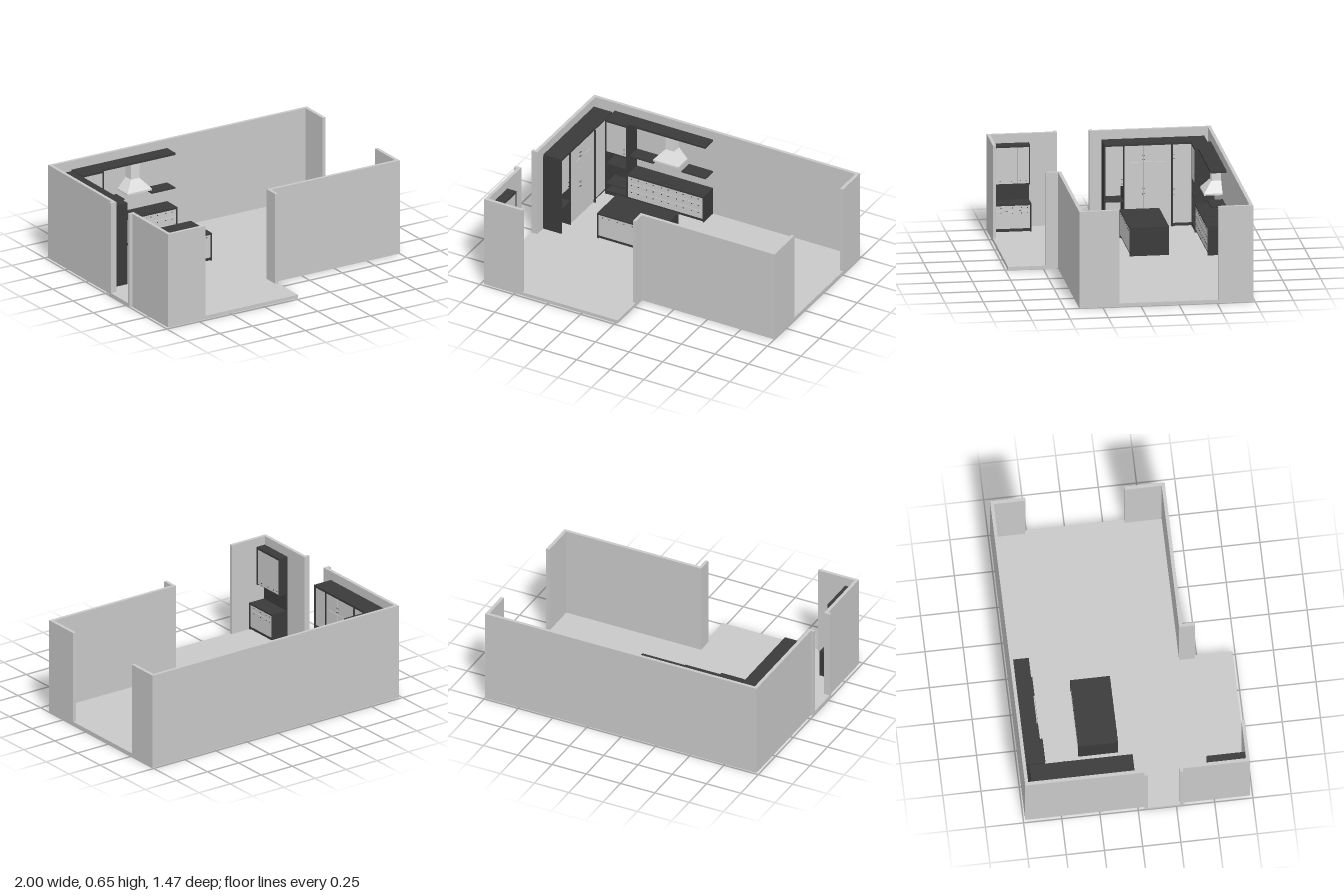
import * as THREE from 'three';

const mat = (name, color) => {
  const m = new THREE.MeshStandardMaterial({ color });
  m.name = name;
  return m;
};

export function createModel() {
  const plaster = mat('wall grey', 0xc8c8c8);
  const front = mat('cabinet front grey', 0xcccccc);
  const dark = mat('dark carcass', 0x3a3a3a);
  const light = mat('hood light grey', 0xdadada);

  const model = new THREE.Group();
  model.name = 'kitchenRoom';
  const group = (name) => {
    const g = new THREE.Group();
    g.name = name;
    model.add(g);
    return g;
  };
  // box given by its low and high limits on each axis
  const box = (parent, name, m, x0, x1, y0, y1, z0, z1) => {
    const mesh = new THREE.Mesh(new THREE.BoxGeometry(x1 - x0, y1 - y0, z1 - z0), m);
    mesh.position.set((x0 + x1) / 2, (y0 + y1) / 2, (z0 + z1) / 2);
    mesh.name = name;
    parent.add(mesh);
    return mesh;
  };
  const F = 0.024, P = 0.046, TOP = 0.59, H = 0.65;

  // floor slab with the doorway threshold
  const outline = [[-0.98, -0.737], [1, -0.737], [1, 0.405], [0.015, 0.405], [0.015, 0.733], [-0.98, 0.733],
    [-0.98, 0.295], [-1, 0.295], [-1, 0.042], [-0.98, 0.042]];
  const shape = new THREE.Shape(outline.map(([x, z]) => new THREE.Vector2(x, -z)));
  const slab = new THREE.ExtrudeGeometry(shape, { depth: F, bevelEnabled: false }).rotateX(-Math.PI / 2);
  const floor = new THREE.Mesh(slab, plaster);
  floor.name = 'floor';
  model.add(floor);

  // walls and door jambs: [name, x0, x1, z0, z1]
  const walls = group('walls');
  [
    ['backWall', -0.98, 1, -0.737, -0.715],
    ['leftWallRear', -0.98, -0.957, -0.715, 0.042],
    ['rearJamb', -1, -0.957, 0.042, 0.063],
    ['frontJamb', -1, -0.957, 0.274, 0.295],
    ['leftWallFront', -0.98, -0.957, 0.295, 0.733],
    ['frontWallShort', -0.957, -0.692, 0.711, 0.733],
    ['rightWallRear', 0.977, 1, -0.715, -0.508],
    ['rightWallFront', 0.977, 1, 0.14, 0.383],
    ['frontWallLong', -0.006, 1, 0.383, 0.405],
    ['wallStub', -0.006, 0.015, 0.405, 0.488],
  ].forEach(([n, x0, x1, z0, z1]) => box(walls, n, plaster, x0, x1, F, H, z0, z1));

  // pairs of small handle posts on fronts facing z or x
  const knob = (g, x, y, z) => box(g, 'handlePost', dark, x - 0.003, x + 0.003, y - 0.002, y + 0.002, z - 0.003, z + 0.003);

  // fronts facing z: rows of drawers between x0 and x1, with narrow gaps
  const drawersZ = (g, x0, x1, z, dir, columns, rows) => {
    const w = (x1 - x0) / columns;
    for (let i = 0; i < columns; i++) {
      const a = x0 + i * w;
      rows.forEach(([y0, y1]) => {
        box(g, 'drawerFront', front, a + 0.001, a + w - 0.001, y0 + 0.001, y1 - 0.001,
          Math.min(z, z - dir * 0.006), Math.max(z, z - dir * 0.006));
        [0.28, 0.72].forEach((t) => knob(g, a + w * t, y1 - 0.015, z + dir * 0.002));
      });
    }
  };

  // island
  const island = group('island');
  box(island, 'islandPlinth', dark, -0.58, -0.145, F, P, -0.335, -0.095);
  box(island, 'islandBody', dark, -0.58, -0.145, P, 0.2, -0.334, -0.096);
  box(island, 'islandTop', dark, -0.595, -0.132, 0.205, 0.215, -0.345, -0.085);
  [-0.595, -0.142].forEach((x) => box(island, 'islandEnd', dark, x, x + 0.01, F, 0.205, -0.345, -0.085));
  drawersZ(island, -0.585, -0.142, -0.087, 1, 4, [[P, 0.205]]);
  drawersZ(island, -0.585, -0.142, -0.343, -1, 4, [[P, 0.205]]);

  // base run along the back wall
  const base = group('backBaseCabinets');
  box(base, 'basePlinth', dark, -0.65, -0.085, F, P, -0.715, -0.6);
  box(base, 'baseBody', dark, -0.65, -0.092, P, 0.208, -0.715, -0.598);
  box(base, 'worktop', dark, -0.65, -0.083, 0.208, 0.22, -0.715, -0.587);
  box(base, 'baseEnd', dark, -0.092, -0.083, F, 0.208, -0.715, -0.59);
  box(base, 'hob', dark, -0.43, -0.31, 0.22, 0.223, -0.69, -0.61);
  drawersZ(base, -0.65, -0.092, -0.592, 1, 5, [[P, 0.105], [0.105, 0.158], [0.158, 0.207]]);

  // wall shelves and top board
  const shelves = group('wallShelves');
  box(shelves, 'topBoard', dark, -0.65, -0.083, 0.576, TOP, -0.715, -0.61);
  box(shelves, 'shelfLeft', dark, -0.65, -0.472, 0.34, 0.35, -0.715, -0.615);
  box(shelves, 'shelfRight', dark, -0.262, -0.083, 0.34, 0.35, -0.715, -0.615);

  // extractor hood: rim, tapered canopy, chimney
  const hood = group('extractorHood');
  box(hood, 'hoodRim', light, -0.462, -0.274, 0.374, 0.386, -0.715, -0.595);
  const canopyGeo = new THREE.BoxGeometry(0.188, 0.07, 0.12);
  const p = canopyGeo.attributes.position;
  for (let i = 0; i < p.count; i++) {
    if (p.getY(i) > 0) {
      p.setX(i, p.getX(i) * 0.34);
      if (p.getZ(i) > 0) p.setZ(i, 0.005);
    }
  }
  const canopyFlat = canopyGeo.toNonIndexed();
  canopyFlat.computeVertexNormals();
  const canopy = new THREE.Mesh(canopyFlat, light);
  canopy.name = 'hoodCanopy';
  canopy.position.set(-0.368, 0.421, -0.655);
  hood.add(canopy);
  box(hood, 'hoodChimney', light, -0.4, -0.336, 0.456, 0.576, -0.715, -0.65);

  // corner column: open shelves below, closed cupboard above
  const column = group('cornerColumn');
  box(column, 'columnSideRight', dark, -0.657, -0.648, F, TOP, -0.715, -0.585);
  box(column, 'columnSideLeft', dark, -0.815, -0.807, F, TOP, -0.715, -0.587);
  box(column, 'columnBack', dark, -0.807, -0.657, F, 0.576, -0.715, -0.705);
  box(column, 'columnTop', dark, -0.807, -0.657, 0.576, TOP, -0.715, -0.585);
  box(column, 'columnPlinth', dark, -0.807, -0.657, F, 0.052, -0.705, -0.59);
  [0.1, 0.25, 0.342].forEach((y) => box(column, 'columnShelf', dark, -0.807, -0.657, y, y + 0.008, -0.705, -0.588));
  box(column, 'columnDoor', front, -0.806, -0.658, 0.351, 0.575, -0.596, -0.589);
  [0.37, 0.4].forEach((y) => knob(column, -0.675, y, -0.587));

  // tall cabinets along the left wall
  const tall = group('tallCabinets');
  const X0 = -0.957, X1 = -0.822;
  box(tall, 'tallTop', dark, X0, X1, 0.576, TOP, -0.692, -0.018);
  box(tall, 'tallEnd', dark, X0, X1, F, 0.576, -0.024, -0.016);
  box(tall, 'nicheDivider', dark, X0, X1, F, 0.576, -0.148, -0.141);
  box(tall, 'cornerDivider', dark, X0, -0.815, F, 0.576, -0.465, -0.457);
  box(tall, 'tallRearEnd', dark, X0, X1, F, 0.576, -0.692, -0.684);
  box(tall, 'nicheDesk', dark, X0, X1, 0.2, 0.209, -0.141, -0.024);
  box(tall, 'nicheBack', front, X0, X0 + 0.006, F, 0.305, -0.141, -0.024);
  box(tall, 'nicheCupboard', front, X0, -0.835, 0.305, 0.576, -0.141, -0.024);
  box(tall, 'tallBody', dark, X0, -0.835, F, 0.576, -0.457, -0.148);
  box(tall, 'cornerBody', dark, X0, -0.835, F, 0.576, -0.684, -0.465);
  // doors: [y0, y1, z0, z1]
  [
    [P, 0.465, -0.275, -0.148], [0.465, 0.576, -0.275, -0.148],
    [P, 0.465, -0.457, -0.275], [0.465, 0.576, -0.457, -0.275],
    [P, 0.576, -0.684, -0.465],
  ].forEach(([y0, y1, z0, z1]) =>
    box(tall, 'tallDoor', front, -0.833, -0.825, y0 + 0.001, y1 - 0.001, z0 + 0.0015, z1 - 0.0015));
  box(tall, 'tallPlinth', front, -0.84, -0.83, F, P, -0.457, -0.148);
  [-0.268, -0.282].forEach((z) => [0.25, 0.285, 0.48, 0.51].forEach((y) => knob(tall, -0.824, y, z)));
  [0.24, 0.275, 0.48, 0.51].forEach((y) => knob(tall, -0.824, y, -0.473));
  [0.32, 0.35].forEach((y) => knob(tall, -0.834, y, -0.134));

  // sideboard beside the door: base, dark niche, wall cupboard
  const side = group('sideboard');
  const Z0 = 0.46, Z1 = 0.711;
  box(side, 'sidePlinth', dark, X0, -0.84, F, P, Z0, Z1);
  box(side, 'sideBody', dark, X0, -0.838, P, 0.2, Z0, 0.7);
  box(side, 'sideWorktop', dark, X0, -0.832, 0.2, 0.211, Z0, Z1);
  box(side, 'sideNicheBack', dark, X0, X0 + 0.008, 0.211, 0.33, Z0, Z1);
  box(side, 'sideCupboard', dark, X0, -0.9, 0.325, 0.576, Z0, 0.7);
  box(side, 'sideTop', dark, X0, -0.89, 0.576, TOP, Z0, Z1);
  box(side, 'sideUpperEnd', dark, X0, -0.89, 0.325, 0.576, 0.698, Z1);
  box(side, 'sideUpperEnd', dark, X0, -0.89, 0.325, 0.576, Z0, Z0 + 0.008);
  box(side, 'sideLowerEnd', dark, X0, -0.832, F, 0.2, 0.698, Z1);
  box(side, 'sideLowerEnd', dark, X0, -0.832, F, 0.2, Z0, Z0 + 0.008);
  [[0.469, 0.544], [0.546, 0.697]].forEach(([a, b]) => {
    box(side, 'sideUpperDoor', front, -0.9, -0.893, 0.332, 0.575, a, b);
    [[P, 0.163], [0.165, 0.199]].forEach(([y0, y1]) => {
      box(side, 'sideDrawer', front, -0.838, -0.833, y0, y1, a, b);
      [0.25, 0.75].forEach((t) => knob(side, -0.832, y1 - 0.013, a + (b - a) * t));
    });
    [0.25, 0.75].forEach((t) => knob(side, -0.892, 0.35, a + (b - a) * t));
  });

  return model;
}
